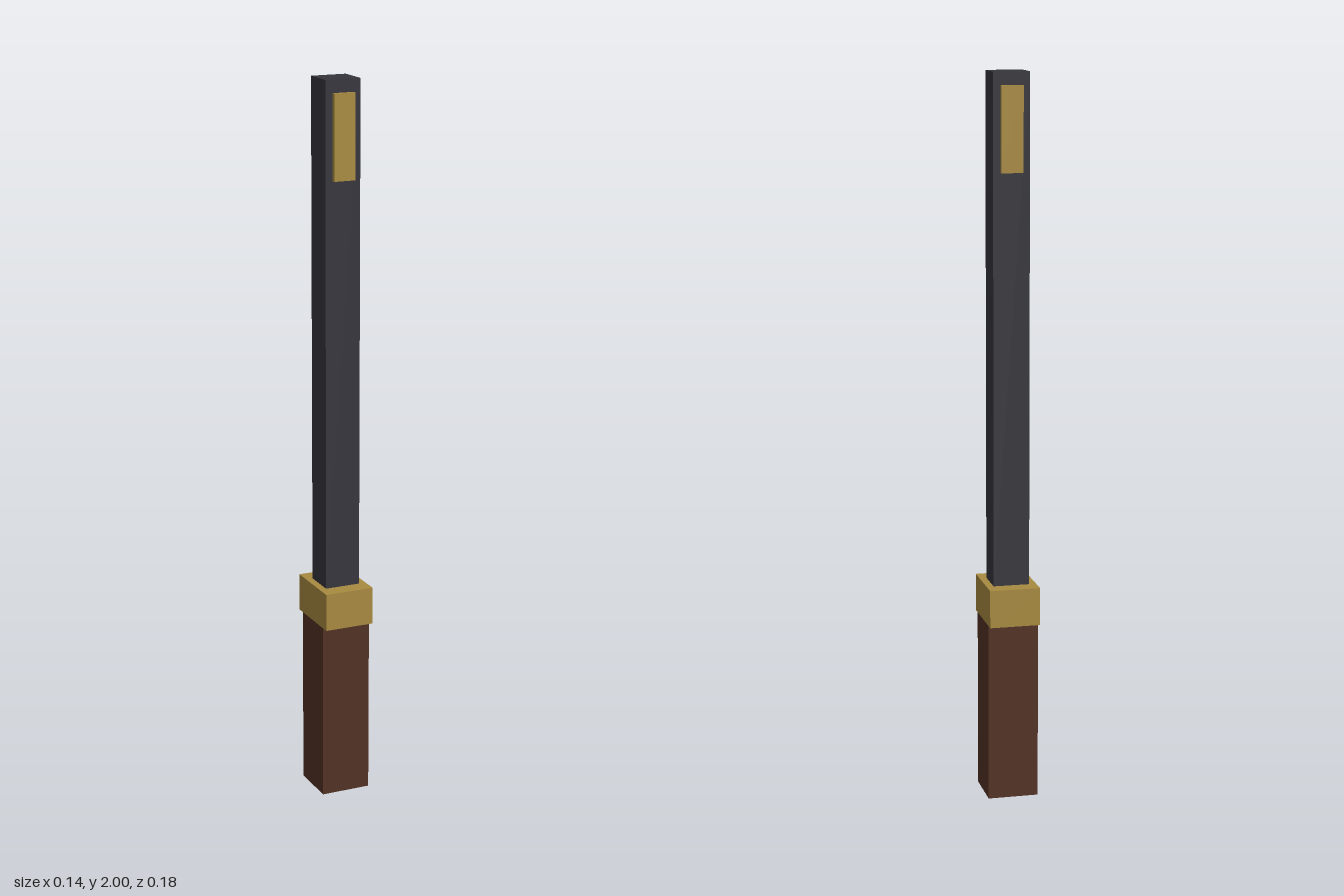
import * as THREE from 'three';

const material = (name, color) => {
  const m = new THREE.MeshStandardMaterial({ color });
  m.name = name;
  return m;
};

// Box standing on y0 and reaching y1, centred on x = 0
function block(name, mat, width, y0, y1, depth, z = 0) {
  const mesh = new THREE.Mesh(new THREE.BoxGeometry(width, y1 - y0, depth), mat);
  mesh.name = name;
  mesh.position.set(0, (y0 + y1) / 2, z);
  return mesh;
}

export function createModel() {
  const steel = material('dark steel', 0x36353c);
  const brass = material('brass', 0xa88a40);
  const wood = material('dark wood', 0x523224);

  const model = new THREE.Group();
  model.name = 'baton';

  // Grip, collar and shaft
  model.add(
    block('grip', wood, 0.14, 0, 0.5, 0.138),
    block('collar', brass, 0.14, 0.5, 0.605, 0.184),
    block('shaft', steel, 0.1, 0.605, 2, 0.092),
  );

  // Inlay plates near the tip, front and back
  for (const side of [1, -1]) {
    const name = side > 0 ? 'frontInlay' : 'backInlay';
    model.add(block(name, brass, 0.06, 1.735, 1.965, 0.012, side * 0.052));
  }
  return model;
}
